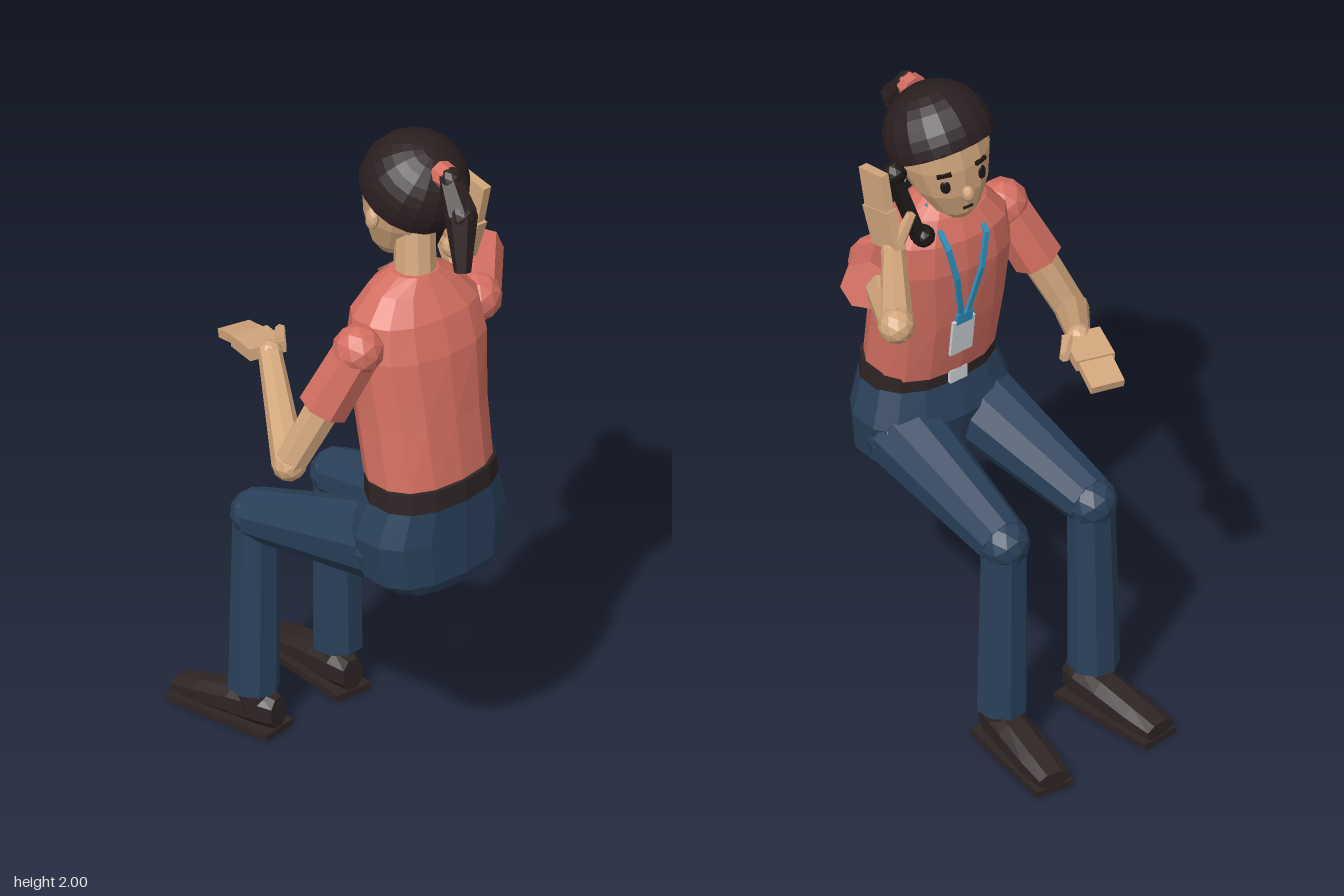
import * as THREE from 'three';

const mat = (name, color) => {
  const m = new THREE.MeshStandardMaterial({ color });
  m.name = name;
  return m;
};
const V = (p) => new THREE.Vector3(...p);

export function createModel() {
  const skin = mat('skin', 0xd2a67c);
  const shirt = mat('coral shirt', 0xd46f61);
  const denim = mat('navy trousers', 0x2a405a);
  const hairMat = mat('dark brown hair', 0x2b1f20);
  const leather = mat('dark leather', 0x2e2424);
  const ink = mat('black features', 0x1c1616);
  const blue = mat('blue lanyard', 0x2c8fbb);
  const white = mat('light grey', 0xccd1d4);

  const model = new THREE.Group();
  model.name = 'seatedCaller';

  // Faceted mesh from any geometry
  function add(name, geo, material, parent = model) {
    const g = geo.index ? geo.toNonIndexed() : geo;
    g.computeVertexNormals();
    const mesh = new THREE.Mesh(g, material);
    mesh.name = name;
    parent.add(mesh);
    return mesh;
  }

  // Stack of rounded rings: [y, cx, cz, rx, rz, yaw]
  function loft(rings, sides, power = 1) {
    const pos = [], idx = [];
    const soft = (v) => Math.sign(v) * Math.pow(Math.abs(v), power);
    for (const [y, cx, cz, rx, rz, yaw = 0] of rings) {
      for (let i = 0; i < sides; i++) {
        const a = ((i + 0.5) / sides) * Math.PI * 2;
        const x = soft(Math.cos(a)) * rx, z = soft(Math.sin(a)) * rz;
        pos.push(cx + x * Math.cos(yaw) - z * Math.sin(yaw), y, cz + x * Math.sin(yaw) + z * Math.cos(yaw));
      }
    }
    const top = (rings.length - 1) * sides, c0 = pos.length / 3;
    for (const r of [rings[0], rings[rings.length - 1]]) pos.push(r[1], r[0], r[2]);
    for (let i = 0; i < sides; i++) {
      const j = (i + 1) % sides;
      for (let k = 0; k < top; k += sides) {
        idx.push(k + j, k + i, k + sides + i, k + j, k + sides + i, k + sides + j);
      }
      idx.push(c0, i, j, c0 + 1, top + j, top + i);
    }
    const g = new THREE.BufferGeometry();
    g.setAttribute('position', new THREE.Float32BufferAttribute(pos, 3));
    g.setIndex(idx);
    return g;
  }

  // Tapered limb between two points
  function limb(name, a, b, ra, rb, material, sides = 8, parent = model) {
    const d = V(b).sub(V(a));
    const m = add(name, new THREE.CylinderGeometry(rb, ra, d.length(), sides), material, parent);
    m.position.copy(V(a)).addScaledVector(d, 0.5);
    m.quaternion.setFromUnitVectors(new THREE.Vector3(0, 1, 0), d.normalize());
    return m;
  }

  // Rectangular bar between two points, its width along "side"
  function bar(name, a, b, width, thick, side, material) {
    const d = V(b).sub(V(a)), len = d.length();
    d.normalize();
    const x = V(side).addScaledVector(d, -V(side).dot(d)).normalize();
    const m = add(name, new THREE.BoxGeometry(width, len, thick), material);
    m.quaternion.setFromRotationMatrix(new THREE.Matrix4().makeBasis(x, d, x.clone().cross(d)));
    m.position.copy(V(a)).add(V(b)).multiplyScalar(0.5);
    return m;
  }

  function ball(name, p, r, material, parent = model) {
    const m = add(name, new THREE.IcosahedronGeometry(r, 1), material, parent);
    m.position.set(...p);
    return m;
  }

  // Torso, belt and hips
  add('shirtBody', loft([
    [1.0, -0.055, 0.325, 0.2, 0.138], [1.2, -0.05, 0.287, 0.2, 0.148, 0.04],
    [1.4, -0.04, 0.26, 0.212, 0.15, 0.1], [1.5, -0.035, 0.247, 0.197, 0.13, 0.1],
    [1.57, -0.033, 0.24, 0.135, 0.092, 0.1], [1.61, -0.033, 0.245, 0.07, 0.062, 0.1],
  ], 14, 0.85), shirt);
  add('belt', loft([[0.955, -0.056, 0.335, 0.21, 0.142], [1.017, -0.056, 0.332, 0.207, 0.14]], 14, 0.85), leather);
  add('buckle', new THREE.BoxGeometry(0.06, 0.042, 0.012), white).position.set(-0.05, 0.985, 0.191);
  add('hips', loft([
    [0.685, -0.055, 0.36, 0.18, 0.1], [0.72, -0.055, 0.335, 0.225, 0.14],
    [0.85, -0.055, 0.32, 0.245, 0.155], [0.96, -0.055, 0.333, 0.207, 0.14],
  ], 14, 0.8), denim);

  // Legs and shoes
  const legs = [
    { side: 'left', hip: [-0.18, 0.79, 0.27], knee: [-0.215, 0.69, -0.2], ankle: [-0.222, 0.13, -0.202], yaw: 0.12, heel: -0.2 },
    { side: 'right', hip: [0.075, 0.79, 0.27], knee: [0.098, 0.69, -0.2], ankle: [0.107, 0.13, -0.202], yaw: -0.13, heel: 0.09 },
  ];
  for (const { side, hip, knee, ankle, yaw, heel } of legs) {
    limb(side + 'Thigh', hip, knee, 0.118, 0.076, denim, 10);
    ball(side + 'HipJoint', hip, 0.115, denim);
    ball(side + 'Knee', knee, 0.075, denim);
    limb(side + 'Shin', knee, ankle, 0.068, 0.074, denim);
    const shoe = new THREE.Group();
    shoe.name = side + 'Shoe';
    shoe.position.set(heel, 0, -0.12);
    shoe.rotation.y = yaw;
    model.add(shoe);
    const upper = loft([
      [0.005, 0, 0.065, 0.035, 0.05], [0.06, 0, 0.07, 0.055, 0.056], [0.15, 0, 0.065, 0.06, 0.05],
      [0.27, 0, 0.05, 0.06, 0.038], [0.355, 0, 0.04, 0.052, 0.024],
    ], 8, 0.85).rotateX(-Math.PI / 2);
    add('shoeUpper', upper, leather, shoe);
    add('shoeSole', new THREE.BoxGeometry(0.12, 0.02, 0.358), leather, shoe).position.set(0, 0.01, -0.179);
    limb(side + 'Ankle', [ankle[0], 0.06, -0.19], ankle, 0.045, 0.05, leather);
  }

  // Left arm held out, palm up
  const ls = [-0.262, 1.44, 0.255], le = [-0.41, 1.075, 0.13], lw = [-0.21, 1.235, -0.15];
  ball('leftShoulder', ls, 0.075, shirt);
  limb('leftSleeve', ls, [-0.338, 1.255, 0.191], 0.07, 0.074, shirt, 7);
  limb('leftUpperArm', ls, le, 0.058, 0.048, skin);
  ball('leftElbow', le, 0.05, skin);
  limb('leftForearm', le, lw, 0.05, 0.034, skin);
  ball('leftWrist', lw, 0.036, skin);
  bar('leftPalm', [-0.212, 1.238, -0.155], [-0.178, 1.225, -0.265], 0.115, 0.036, [1, 0, 0.3], skin);
  bar('leftFingers', [-0.178, 1.225, -0.262], [-0.152, 1.2, -0.352], 0.1, 0.026, [1, 0, 0.3], skin);
  limb('leftThumb', [-0.17, 1.24, -0.155], [-0.108, 1.242, -0.212], 0.022, 0.015, skin, 6);

  // Right arm raised, hand beside the ear
  const rs = [0.18, 1.435, 0.275], re = [0.395, 1.515, -0.09], rw = [0.205, 1.54, 0.16];
  ball('rightShoulder', rs, 0.075, shirt);
  limb('rightSleeve', rs, [0.318, 1.486, 0.14], 0.07, 0.074, shirt, 7);
  limb('rightUpperArm', rs, re, 0.058, 0.05, skin);
  ball('rightElbow', re, 0.053, skin);
  limb('rightForearm', re, rw, 0.05, 0.034, skin);
  ball('rightWrist', rw, 0.036, skin);
  bar('rightPalm', [0.203, 1.55, 0.18], [0.213, 1.67, 0.213], 0.115, 0.036, [0, 0, 1], skin);
  bar('rightFingers', [0.213, 1.667, 0.212], [0.216, 1.785, 0.235], 0.1, 0.028, [0, 0, 1], skin);
  limb('rightThumb', [0.2, 1.58, 0.145], [0.165, 1.67, 0.13], 0.022, 0.015, skin, 6);

  // Telephone handset
  bar('handsetGrip', [0.135, 1.57, 0.13], [0.178, 1.785, 0.205], 0.045, 0.03, [0, 0, 1], ink);
  ball('mouthpiece', [0.122, 1.575, 0.13], 0.034, ink);
  ball('earpiece', [0.168, 1.775, 0.2], 0.036, ink);

  // Neck and open collar
  limb('neck', [-0.035, 1.55, 0.25], [-0.008, 1.76, 0.222], 0.062, 0.058, skin, 10);
  const collar = new THREE.BufferGeometry();
  collar.setAttribute('position', new THREE.Float32BufferAttribute(
    [-0.085, 1.585, 0.152, -0.015, 1.46, 0.103, 0.045, 1.585, 0.158], 3));
  add('openCollar', collar, skin);

  // Lanyard with badge
  for (const s of [-1, 1]) {
    const pts = [[-0.03 + s * 0.07, 1.6, 0.215], [-0.022 + s * 0.068, 1.5, 0.112],
      [-0.02 + s * 0.045, 1.4, 0.1], [-0.02 + s * 0.01, 1.24, 0.124]];
    for (let i = 0; i < 3; i++) bar('lanyardStrap', pts[i], pts[i + 1], 0.016, 0.009, [1, 0, 0], blue);
  }
  bar('badgeClip', [-0.02, 1.25, 0.122], [-0.02, 1.215, 0.126], 0.055, 0.01, [1, 0, 0], blue);
  bar('badge', [-0.02, 1.225, 0.127], [-0.02, 1.105, 0.141], 0.078, 0.009, [1, 0, 0], white);

  // Head, turned and tipped towards the handset
  const head = new THREE.Group();
  head.name = 'head';
  head.position.set(0.015, 1.84, 0.195);
  head.rotation.set(0, -0.2, -0.14);
  model.add(head);
  add('face', loft([
    [-0.232, 0, -0.06, 0.038, 0.04], [-0.2, 0, -0.05, 0.07, 0.075], [-0.12, 0, -0.03, 0.112, 0.115],
    [-0.03, 0, -0.01, 0.138, 0.139], [0.06, 0, 0, 0.138, 0.138], [0.1, 0, 0, 0.1, 0.1],
  ], 14), skin, head);
  const cap = add('hairCap', new THREE.SphereGeometry(0.158, 18, 9, 0, Math.PI * 2, 0, 1.77), hairMat, head);
  cap.rotation.x = 0.5;
  const rim = add('hairUnderside', new THREE.CylinderGeometry(0.155, 0.15, 0.008, 18), hairMat, head);
  rim.rotation.x = 0.5;
  rim.position.set(0, -0.027, -0.015);
  const nose = ball('nose', [0, -0.115, -0.15], 0.022, skin, head);
  nose.scale.set(0.85, 1.2, 0.9);
  add('mouth', new THREE.BoxGeometry(0.03, 0.006, 0.006), ink, head).position.set(0, -0.172, -0.134);
  for (const s of [-1, 1]) {
    const eye = ball('eye', [s * 0.058, -0.075, -0.133], 1, ink, head);
    eye.scale.set(0.015, 0.023, 0.007);
    eye.rotation.y = -s * 0.45;
    const brow = add('eyebrow', new THREE.BoxGeometry(0.042, 0.011, 0.009), ink, head);
    brow.position.set(s * 0.058, -0.03, -0.137);
    brow.rotation.set(0, -s * 0.45, -s * 0.12);
    const ear = ball('ear', [s * 0.132, -0.085, 0.005], 1, skin, head);
    ear.scale.set(0.018, 0.035, 0.024);
  }

  // Ponytail and hair tie
  const tail = [[0.005, 1.925, 0.31], [0.002, 1.925, 0.35], [-0.012, 1.84, 0.41], [-0.048, 1.685, 0.452]];
  limb('hairTie', tail[0], tail[1], 0.04, 0.036, shirt, 8);
  limb('ponytailTop', tail[1], tail[2], 0.034, 0.048, hairMat, 6);
  limb('ponytailEnd', tail[2], tail[3], 0.048, 0.024, hairMat, 6);
  ball('ponytailRoot', tail[1], 0.036, hairMat);
  ball('ponytailBend', tail[2], 0.046, hairMat);

  return model;
}
